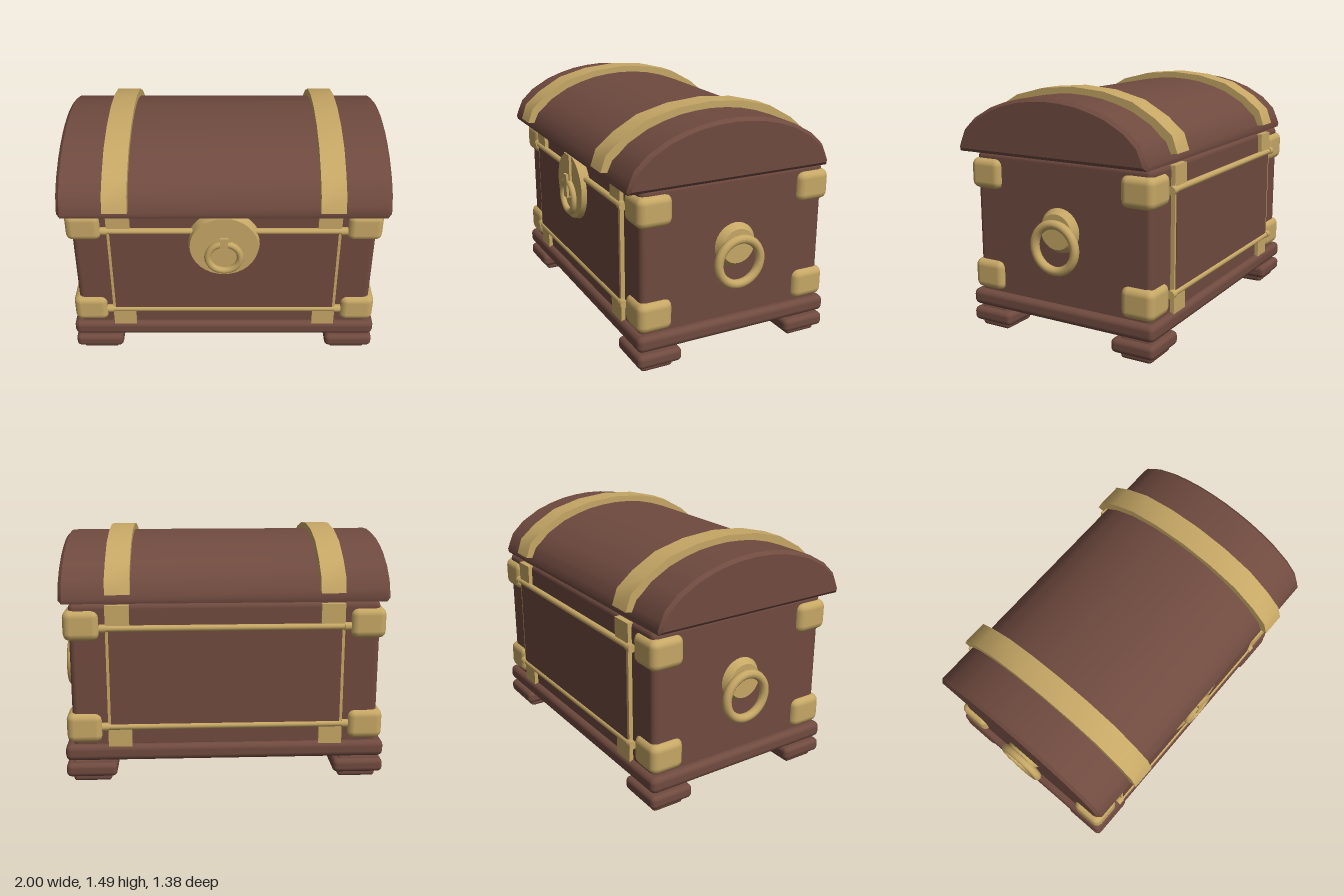
import * as THREE from 'three';
import { toCreasedNormals } from 'three/addons/utils/BufferGeometryUtils.js';
import { RoundedBoxGeometry } from 'three/addons/geometries/RoundedBoxGeometry.js';

const MID_Z = -0.05; // the body sits slightly behind the lid's centre

export function createModel() {
  const model = new THREE.Group();
  model.name = 'treasureChest';
  const wood = new THREE.MeshStandardMaterial({ color: 0x6f4a3f });
  wood.name = 'brown wood';
  const brass = new THREE.MeshStandardMaterial({ color: 0xc6a765 });
  brass.name = 'brass';

  function add(name, geometry, material, x = 0, y = 0, z = 0) {
    const mesh = new THREE.Mesh(geometry, material);
    mesh.name = name;
    mesh.position.set(x, y, z);
    model.add(mesh);
    return mesh;
  }
  const rounded = (w, h, d, r) => new RoundedBoxGeometry(w, h, d, 2, r);

  // Extrude a (z, y) outline along x, centred on x = 0
  function extrudeAlongX(points, width, bevel) {
    const shape = new THREE.Shape(points.map(([z, y]) => new THREE.Vector2(z, y)));
    const geometry = new THREE.ExtrudeGeometry(shape, {
      depth: width - 2 * bevel, bevelEnabled: bevel > 0, bevelThickness: bevel,
      bevelSize: bevel, bevelOffset: -bevel, bevelSegments: 1,
    });
    geometry.translate(0, 0, bevel - width / 2);
    geometry.rotateY(-Math.PI / 2);
    return toCreasedNormals(geometry, 0.7);
  }
  // Complete a half arc, listed from the crown down, into a full one
  const mirrorArc = (half) => [
    ...half.slice(1).reverse(),
    ...half.map(([z, y]) => [-z, y]),
  ];

  // Body and base
  add('body', rounded(1.83, 0.89, 1.2, 0.035), wood, 0, 0.655, MID_Z);
  add('base', rounded(1.92, 0.1, 1.27, 0.035), wood, 0, 0.19, MID_Z);

  // Domed lid
  const dome = mirrorArc([[0, 1.445], [0.1, 1.44], [0.2, 1.427], [0.3, 1.402],
    [0.4, 1.367], [0.52, 1.3], [0.6, 1.225], [0.625, 1.17], [0.645, 1.12], [0.64, 1.095]]);
  add('lid', extrudeAlongX(dome, 1.94, 0.02), wood);

  // Lid straps
  const outer = mirrorArc([[0, 1.485], [0.21, 1.468], [0.4, 1.42],
    [0.55, 1.335], [0.652, 1.25], [0.685, 1.155]]);
  const inner = mirrorArc([[0, 1.435], [0.2, 1.418], [0.385, 1.36],
    [0.53, 1.285], [0.615, 1.215], [0.645, 1.15]]);
  const strapOutline = [...outer, ...inner.reverse()];
  for (const side of [-1, 1]) {
    add('lidStrap', extrudeAlongX(strapOutline, 0.145, 0), brass, side * 0.625);
  }

  // Fittings repeated on the front and back
  for (const face of [-1, 1]) {
    const atZ = (offset) => MID_Z + face * offset;
    add('facePanel', new THREE.BoxGeometry(1.365, 0.59, 0.04), wood, 0, 0.66, atZ(0.608));

    for (const y of [0.355, 0.955]) {
      const rod = add('rod', new THREE.CylinderGeometry(0.019, 0.019, 1.46, 12),
        brass, 0, y, atZ(0.62));
      rod.rotation.z = Math.PI / 2;
    }

    for (const side of [-1, 1]) {
      add('bodyStrap', new THREE.BoxGeometry(0.14, 0.86, 0.04), brass,
        side * 0.63, 0.66, atZ(0.605));
      add('foot', rounded(0.23, 0.14, 0.2, 0.02), wood, side * 0.805, 0.07, atZ(0.5));
      add('footCollar', rounded(0.305, 0.085, 0.28, 0.03), wood, side * 0.807, 0.08, atZ(0.495));

      for (const y of [0.342, 0.968]) {
        add('cornerBracket', rounded(0.215, 0.185, 0.215, 0.045), brass,
          side * 0.842, y, atZ(0.518));
        const knob = add('rodEnd', new THREE.CylinderGeometry(0.025, 0.025, 0.04, 12),
          brass, side * 0.715, y + (y > 0.6 ? -0.013 : 0.013), atZ(0.62));
        knob.rotation.z = Math.PI / 2;
      }
    }
  }

  // Lock plate, hasp and ring
  const plate = add('lockPlate', new THREE.CylinderGeometry(0.205, 0.222, 0.055, 32),
    brass, 0, 0.865, 0.582);
  plate.rotation.x = Math.PI / 2;
  add('hasp', new THREE.BoxGeometry(0.085, 0.27, 0.045), brass, 0, 0.94, 0.603);
  add('haspTip', new THREE.BoxGeometry(0.05, 0.15, 0.03), brass, 0, 0.87, 0.625);
  add('lockRing', new THREE.TorusGeometry(0.098, 0.021, 10, 28), brass, 0, 0.798, 0.62);

  // Side handles: domed plate with a hanging ring
  for (const side of [-1, 1]) {
    const mount = add('handlePlate', new THREE.CylinderGeometry(0.105, 0.138, 0.05, 28),
      brass, side * 0.932, 0.687, MID_Z);
    mount.rotation.z = -side * Math.PI / 2;
    const ring = add('handleRing', new THREE.TorusGeometry(0.138, 0.027, 10, 32),
      brass, side * 0.972, 0.597, MID_Z);
    ring.rotation.y = Math.PI / 2;
  }

  return model;
}
